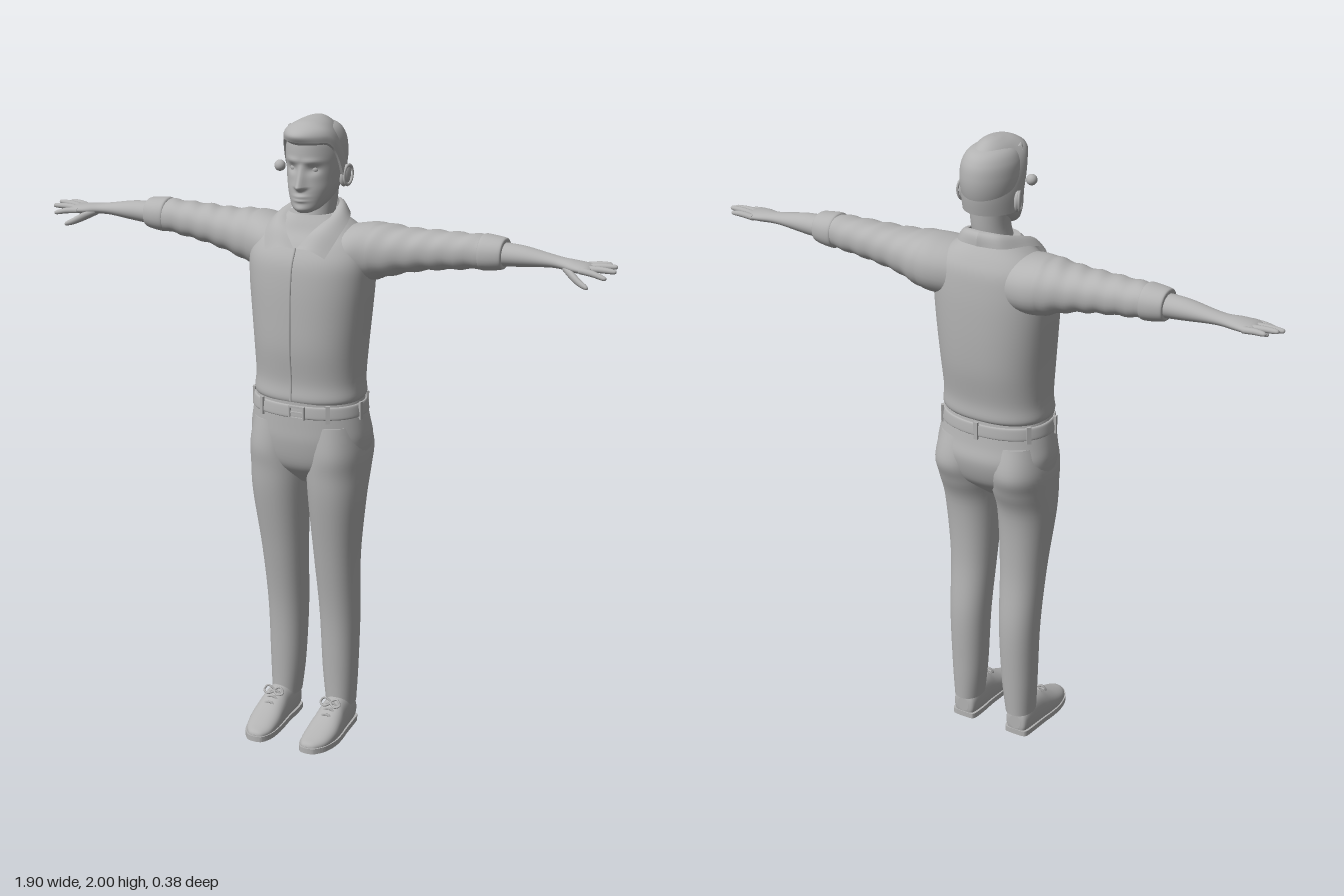
import * as THREE from 'three';

const grey = new THREE.MeshStandardMaterial({ color: 0xb3b3b3, side: THREE.DoubleSide });
grey.name = 'clay grey';

const V = (x, y, z) => new THREE.Vector3(x, y, z);
const gauss = (d, w) => Math.exp(-(d * d) / (w * w));

function add(group, name, geometry) {
  const mesh = new THREE.Mesh(geometry, grey);
  mesh.name = name;
  group.add(mesh);
  return mesh;
}

// Catmull-Rom blend of neighbouring cross-sections
function sectionAt(s, f) {
  const i = Math.min(Math.floor(f), s.length - 2), t = f - i;
  const g = k => s[Math.max(0, Math.min(s.length - 1, k))];
  return s[i].map((_, c) => {
    const [a, b, d, e] = [g(i - 1)[c], g(i)[c], g(i + 1)[c], g(i + 2)[c]];
    return b + 0.5 * t * (d - a + t * (2 * a - 5 * b + 4 * d - e + t * (3 * (b - d) + e - a)));
  });
}

// Closed smooth skin over sections [position on axis, centre1, radius1, centre2, radius2]
function loft(sections, { axis = 'y', side = 1, n = 40, steps = 5, power = 2, deform } = {}) {
  const rows = (sections.length - 1) * steps, pos = [], idx = [];
  for (let i = 0; i <= rows; i++) {
    const [t, c1, r1, c2, r2] = sectionAt(sections, i / steps);
    for (let j = 0; j < n; j++) {
      const a = (j / n) * Math.PI * 2, c = Math.cos(a), s = Math.sin(a);
      const p = c1 + r1 * Math.sign(c) * Math.abs(c) ** (2 / power);
      const q = c2 + r2 * Math.sign(s) * Math.abs(s) ** (2 / power);
      const v = axis === 'y' ? V(p, t, q) : axis === 'x' ? V(t, p, q) : V(p, q, t);
      if (deform) deform(v);
      pos.push(v.x * side, v.y, v.z);
    }
  }
  for (let i = 0; i < rows; i++) for (let j = 0; j < n; j++) {
    const a = i * n + j, b = i * n + (j + 1) % n;
    idx.push(a, a + n, b, b, a + n, b + n);
  }
  // End caps on their own vertices, so the rims stay crisp
  for (const row of [0, rows]) {
    const base = pos.length / 3, mid = [0, 0, 0];
    for (let j = 0; j < n; j++) for (let k = 0; k < 3; k++) {
      const value = pos[(row * n + j) * 3 + k];
      pos.push(value);
      mid[k] += value / n;
    }
    pos.push(...mid);
    for (let j = 0; j < n; j++) {
      const a = base + j, b = base + (j + 1) % n;
      idx.push(...(row ? [a, base + n, b] : [a, b, base + n]));
    }
  }
  // Turn the faces outward by the sign of the enclosed volume
  let volume = 0;
  const at = k => V(pos[k * 3], pos[k * 3 + 1], pos[k * 3 + 2]);
  for (let k = 0; k < idx.length; k += 3) volume += at(idx[k]).dot(at(idx[k + 1]).cross(at(idx[k + 2])));
  if (volume < 0) idx.reverse();
  const geo = new THREE.BufferGeometry();
  geo.setAttribute('position', new THREE.Float32BufferAttribute(pos, 3));
  geo.setIndex(idx);
  geo.computeVertexNormals();
  return geo;
}

const tube = (points, r, closed = false) =>
  new THREE.TubeGeometry(new THREE.CatmullRomCurve3(points, closed), 32, r, 8, closed);

// Pushes out nose, brow, lips and chin, and presses in the eye sockets
function sculptFace(v) {
  if (v.z < 0) return;
  const ax = Math.abs(v.x), y = v.y;
  const ridge = y > 1.8 ? Math.max(0, 1 - (y - 1.8) / 0.07) : Math.max(0, 1 - (1.8 - y) / 0.014);
  v.z += 0.026 * ridge * gauss(v.x, 0.008 + 0.008 * ridge)
    - 0.01 * gauss(ax - 0.034, 0.018) * gauss(y - 1.853, 0.013)
    + 0.005 * gauss(ax - 0.03, 0.03) * gauss(y - 1.878, 0.009)
    + 0.006 * gauss(v.x, 0.022) * (gauss(y - 1.772, 0.005) + gauss(y - 1.76, 0.005))
    + 0.004 * gauss(v.x, 0.02) * gauss(y - 1.735, 0.01);
}

// Lowers the hairline behind and lifts it over the forehead
function shapeHair(v) {
  const w = Math.max(0, (2 - v.y) / 0.1), f = THREE.MathUtils.smoothstep(-v.z, -0.04, 0.1);
  v.y += w * (0.035 - 0.145 * f);
  v.z += 0.024 * w * w * f;
  v.z += 0.012 * gauss(v.y - 1.955, 0.02) * (1 - f) * gauss(v.x + 0.015, 0.05);
}

function makeHead() {
  const head = new THREE.Group();
  head.name = 'head';
  add(head, 'face', loft([
    [1.722, 0, 0.022, 0.035, 0.025], [1.735, 0, 0.044, 0.018, 0.05], [1.76, 0, 0.062, -0.01, 0.079],
    [1.79, 0, 0.074, -0.028, 0.096], [1.82, 0, 0.081, -0.041, 0.105], [1.86, 0, 0.087, -0.048, 0.111],
    [1.9, 0, 0.088, -0.048, 0.114], [1.94, 0, 0.081, -0.046, 0.108], [1.97, 0, 0.06, -0.042, 0.085],
    [1.988, 0, 0.015, -0.04, 0.02]], { n: 96, steps: 8, deform: sculptFace }));
  add(head, 'hair', loft([
    [1.9, 0, 0.093, -0.047, 0.121], [1.93, 0, 0.091, -0.045, 0.121], [1.96, 0, 0.078, -0.043, 0.108],
    [1.985, 0, 0.052, -0.042, 0.078], [1.997, 0, 0.025, -0.042, 0.04], [2, 0, 0.003, -0.042, 0.004]],
  { n: 64, deform: shapeHair }));
  // Swept fringe locks
  for (let i = 0; i < 4; i++) {
    add(head, 'fringe', tube([V(0.045 - i * 0.012, 1.955 + i * 0.006, 0.048),
      V(0, 1.957 + i * 0.007, 0.065 - i * 0.007), V(-0.045, 1.95 + i * 0.007, 0.052 - i * 0.008),
      V(-0.068, 1.948 + i * 0.006, 0.025 - i * 0.01)], 0.008));
  }
  for (const s of [1, -1]) {
    const ear = add(head, 'ear', new THREE.SphereGeometry(1, 20, 14));
    ear.scale.set(0.012, 0.034, 0.021);
    ear.position.set(s * 0.09, 1.822, -0.055);
    ear.rotation.set(-0.2, s * -0.35, s * -0.12);
    const rim = add(head, 'earRim', new THREE.TorusGeometry(0.02, 0.004, 8, 24));
    rim.scale.set(0.9, 1.45, 1);
    rim.position.set(s * 0.099, 1.824, -0.057);
    rim.rotation.set(0, s * (Math.PI / 2 - 0.35), s * -0.12);
    add(head, 'eye', new THREE.SphereGeometry(0.013, 20, 14)).position.set(s * 0.034, 1.853, 0.034);
  }
  add(head, 'sideBall', new THREE.SphereGeometry(0.017, 20, 14)).position.set(-0.078, 1.856, 0.045);
  head.position.x = 0.012;
  return head;
}

function makeArm(s) {
  const arm = new THREE.Group();
  arm.name = s > 0 ? 'leftArm' : 'rightArm';
  const o = { axis: 'x', side: s };
  const ripple = v => { if (v.x > 0.2) v.y += 0.0025 * Math.sin(v.x * 95 + v.z * 30); };
  add(arm, 'sleeve', loft([
    [0.07, 1.58, 0.08, -0.055, 0.1], [0.14, 1.588, 0.087, -0.07, 0.108], [0.2, 1.595, 0.086, -0.083, 0.1],
    [0.3, 1.607, 0.067, -0.087, 0.079], [0.4, 1.617, 0.058, -0.093, 0.067],
    [0.54, 1.626, 0.05, -0.1, 0.055]], { ...o, steps: 10, power: 2.2, deform: ripple }));
  add(arm, 'rolledCuff', loft([
    [0.53, 1.626, 0.049, -0.1, 0.053], [0.537, 1.626, 0.054, -0.1, 0.058], [0.565, 1.626, 0.052, -0.1, 0.057],
    [0.597, 1.627, 0.047, -0.1, 0.051], [0.603, 1.627, 0.042, -0.1, 0.046]], { ...o, power: 2.2 }));
  add(arm, 'forearm', loft([
    [0.59, 1.625, 0.036, -0.1, 0.04], [0.66, 1.626, 0.031, -0.1, 0.037], [0.74, 1.623, 0.02, -0.1, 0.029],
    [0.78, 1.62, 0.017, -0.098, 0.028], [0.82, 1.617, 0.017, -0.092, 0.038], [0.86, 1.615, 0.014, -0.09, 0.044],
    [0.875, 1.615, 0.008, -0.09, 0.038]], { ...o, n: 32 }));
  // Four fingers, little finger at the back: base z, tip z, tip x, tip y
  for (const [z0, z1, x1, y1] of [[-0.124, -0.136, 0.92, 1.622], [-0.102, -0.107, 0.945, 1.624],
    [-0.08, -0.079, 0.95, 1.617], [-0.058, -0.05, 0.93, 1.602]]) {
    add(arm, 'finger', loft([[0.845, 1.615, 0.01, z0, 0.011],
      [(0.845 + x1) / 2, (1.619 + y1) / 2, 0.0095, (z0 + z1) / 2, 0.01],
      [x1 - 0.008, y1, 0.007, z1, 0.0075], [x1, y1, 0.002, z1, 0.002]], { ...o, n: 14, steps: 4 }));
  }
  add(arm, 'thumb', loft([[0.79, 1.613, 0.012, -0.085, 0.016], [0.825, 1.597, 0.014, -0.056, 0.013],
    [0.855, 1.582, 0.011, -0.04, 0.01], [0.876, 1.574, 0.007, -0.033, 0.007],
    [0.882, 1.572, 0.002, -0.032, 0.002]], { ...o, n: 16 }));
  return arm;
}

function makeLeg(s) {
  const leg = new THREE.Group();
  leg.name = s > 0 ? 'leftLeg' : 'rightLeg';
  add(leg, 'trouserLeg', loft([
    [0.078, 0.098, 0.046, -0.058, 0.056], [0.2, 0.094, 0.056, -0.06, 0.061], [0.4, 0.092, 0.064, -0.058, 0.069],
    [0.6, 0.092, 0.073, -0.035, 0.076], [0.8, 0.097, 0.089, -0.022, 0.098], [0.9, 0.097, 0.095, -0.034, 0.121],
    [0.97, 0.1, 0.093, -0.042, 0.135], [1.06, 0.09, 0.088, -0.036, 0.12]], { side: s, steps: 6, power: 2.15 }));
  // Shoe: sections from heel to toe, flattened on the ground
  const shoe = [[-0.1, 0.1, 0.02, 0.045, 0.025], [-0.092, 0.1, 0.037, 0.045, 0.045], [-0.05, 0.1, 0.043, 0.05, 0.065],
    [0.01, 0.102, 0.046, 0.045, 0.066], [0.05, 0.103, 0.05, 0.038, 0.053], [0.1, 0.102, 0.052, 0.028, 0.036],
    [0.15, 0.098, 0.044, 0.02, 0.023], [0.182, 0.094, 0.025, 0.018, 0.014], [0.19, 0.093, 0.008, 0.017, 0.005]];
  add(leg, 'shoe', loft(shoe, { axis: 'z', side: s, power: 2.3, deform: v => { v.y = Math.max(v.y, 0.008); } }));
  // Flat sole following the shoe outline
  const rim = d => shoe.map(([z, c, r]) => new THREE.Vector2(s * (c + d * (r + 0.003)), -z * 1.02));
  const outline = new THREE.Shape(new THREE.SplineCurve([...rim(1), ...rim(-1).reverse(), rim(1)[0]]).getPoints(80));
  add(leg, 'sole', new THREE.ExtrudeGeometry(outline, { depth: 0.018, bevelEnabled: false }).rotateX(-Math.PI / 2));
  // Laces and bow
  for (const [z, y] of [[0.025, 0.107], [0.045, 0.095], [0.065, 0.083]]) {
    add(leg, 'lace', tube([V(s * 0.075, y - 0.016, z), V(s * 0.102, y + 0.001, z + 0.004),
      V(s * 0.13, y - 0.016, z)], 0.004));
  }
  for (const d of [1, -1]) {
    const x = s * 0.102;
    add(leg, 'bow', tube([V(x, 0.108, 0.03), V(x + d * 0.022, 0.122, 0.03), V(x + d * 0.034, 0.106, 0.036),
      V(x + d * 0.018, 0.1, 0.045)], 0.0035, true));
  }
  return leg;
}

// Folded collar half: a strip ruled between the neck edge and the outer edge
function collarHalf(s) {
  const top = new THREE.CatmullRomCurve3([V(0.004, 1.615, 0.082), V(0.045, 1.668, 0.05), V(0.07, 1.705, -0.03),
    V(0.056, 1.733, -0.11), V(0, 1.74, -0.132)]);
  const low = new THREE.CatmullRomCurve3([V(0.1, 1.595, 0.084), V(0.122, 1.656, 0.03), V(0.118, 1.69, -0.05),
    V(0.075, 1.698, -0.135), V(0, 1.7, -0.156)]);
  const geo = new THREE.PlaneGeometry(1, 1, 32, 6), p = geo.attributes.position;
  for (let i = 0; i < p.count; i++) {
    const u = p.getX(i) + 0.5, w = p.getY(i) + 0.5;
    const v = top.getPoint(u).lerp(low.getPoint(u), w);
    p.setXYZ(i, s * v.x, v.y + 0.012 * Math.sin(w * Math.PI), v.z + 0.008 * Math.sin(w * Math.PI) * (1 - 2 * u));
  }
  if (s < 0) geo.index.array.reverse();
  geo.computeVertexNormals();
  return geo;
}

export function createModel() {
  const model = new THREE.Group();
  model.name = 'standingMan';
  model.add(makeHead());
  add(model, 'neck', loft([[1.6, 0, 0.065, -0.045, 0.07], [1.68, 0.003, 0.06, -0.05, 0.063],
    [1.74, 0.01, 0.058, -0.06, 0.062], [1.8, 0.012, 0.06, -0.065, 0.062]]));

  // Shirt
  add(model, 'shirt', loft([
    [1.135, 0, 0.172, -0.03, 0.126], [1.15, 0, 0.178, -0.032, 0.132], [1.2, 0, 0.174, -0.034, 0.13],
    [1.3, 0, 0.179, -0.037, 0.143], [1.4, 0, 0.188, -0.04, 0.146], [1.5, 0, 0.197, -0.042, 0.144],
    [1.57, 0, 0.198, -0.045, 0.137], [1.62, 0, 0.182, -0.054, 0.121], [1.655, 0, 0.15, -0.06, 0.1],
    [1.685, 0, 0.108, -0.058, 0.083], [1.705, 0, 0.075, -0.055, 0.07]], { n: 56, power: 2.3 }));
  add(model, 'placket', tube([V(-0.006, 1.142, 0.1), V(-0.006, 1.2, 0.096), V(-0.006, 1.3, 0.106),
    V(-0.006, 1.4, 0.106), V(-0.006, 1.5, 0.102), V(-0.005, 1.57, 0.092), V(-0.003, 1.615, 0.072)], 0.004));

  // Trousers and belt
  add(model, 'trouserSeat', loft([
    [0.85, 0, 0.03, -0.03, 0.045], [0.89, 0, 0.12, -0.033, 0.09], [0.93, 0, 0.18, -0.038, 0.121],
    [1, 0, 0.196, -0.041, 0.138], [1.06, 0, 0.19, -0.035, 0.133], [1.14, 0, 0.172, -0.03, 0.127]],
  { n: 56, power: 2.2 }));
  add(model, 'belt', loft([[1.088, 0, 0.184, -0.031, 0.133], [1.094, 0, 0.187, -0.031, 0.136],
    [1.122, 0, 0.182, -0.031, 0.134], [1.128, 0, 0.178, -0.031, 0.131]], { n: 56, power: 2.2 }));
  for (const deg of [55, 125, 10, 170, 215, 270, 325]) {
    const a = THREE.MathUtils.degToRad(deg), c = Math.cos(a), s = Math.sin(a), k = 2 / 2.2;
    const loop = add(model, 'beltLoop', new THREE.BoxGeometry(0.014, 0.056, 0.008));
    loop.position.set(0.186 * Math.sign(c) * Math.abs(c) ** k, 1.107, -0.031 + 0.136 * Math.sign(s) * Math.abs(s) ** k);
    loop.rotation.y = Math.atan2(c / 0.186, s / 0.136);
  }
  for (const [x, y, w, h] of [[0.018, 1.126, 0.052, 0.006], [0.018, 1.09, 0.052, 0.006],
    [-0.006, 1.108, 0.006, 0.042], [0.042, 1.108, 0.006, 0.042], [0.02, 1.108, 0.044, 0.005]]) {
    add(model, 'buckle', new THREE.BoxGeometry(w, h, 0.009)).position.set(x, y, 0.107);
  }

  for (const s of [1, -1]) {
    add(model, 'collar', collarHalf(s));
    model.add(makeArm(s), makeLeg(s));
  }
  return model;
}
